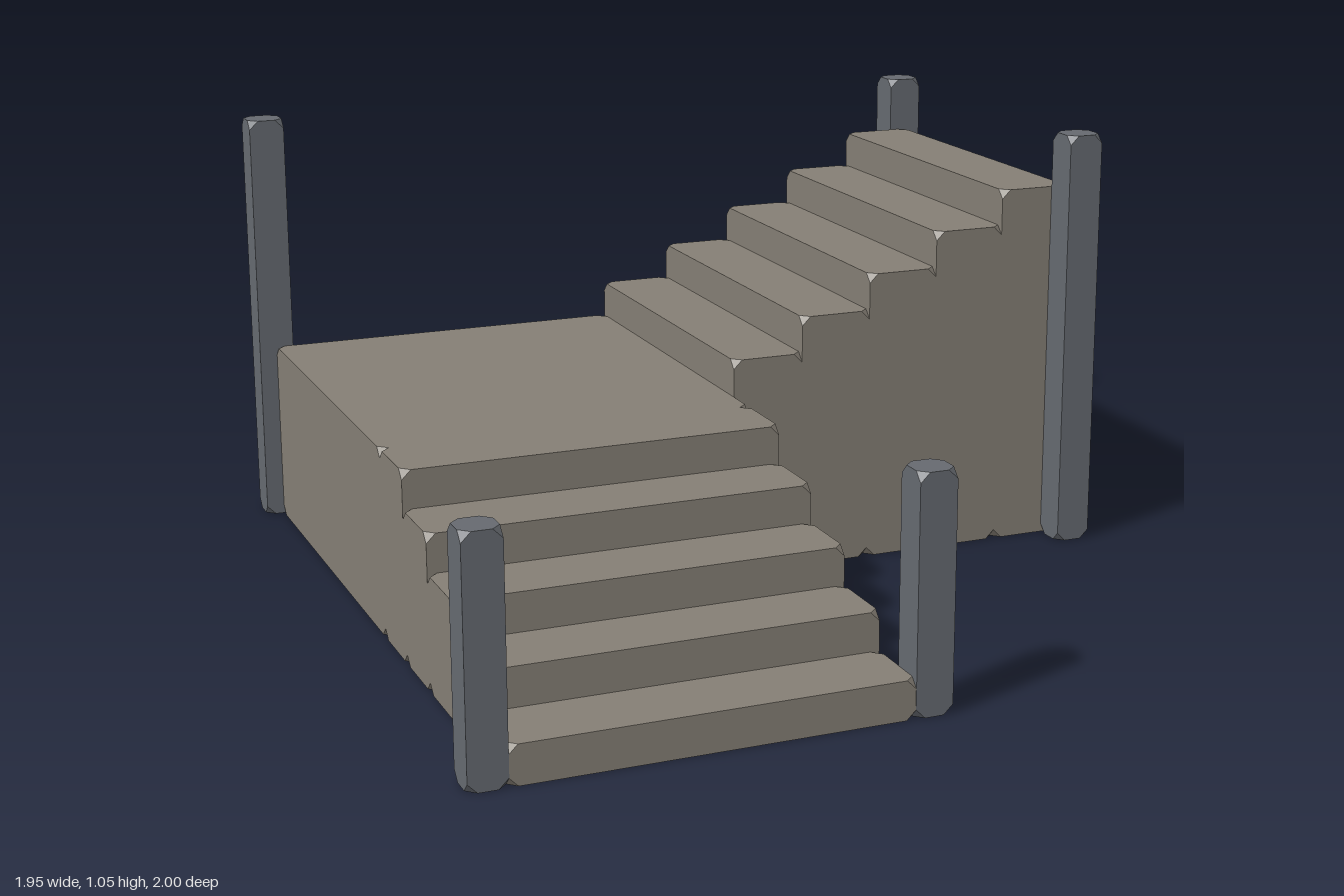
import * as THREE from 'three';
import { ConvexGeometry } from 'three/addons/geometries/ConvexGeometry.js';

const stone = new THREE.MeshStandardMaterial({ color: 0x857f75, flatShading: true });
const slate = new THREE.MeshStandardMaterial({ color: 0x666a70, flatShading: true });

// Block standing on the ground with its eight corners cut off
function block(name, x0, x1, z0, z1, height, material, cut = 0.022) {
  const half = [(x1 - x0) / 2, height / 2, (z1 - z0) / 2];
  const points = [];
  for (const sx of [-1, 1]) for (const sy of [-1, 1]) for (const sz of [-1, 1]) {
    const sign = [sx, sy, sz];
    for (let axis = 0; axis < 3; axis++) {
      const p = half.map((h, i) => sign[i] * (i === axis ? h - cut : h));
      points.push(new THREE.Vector3(...p));
    }
  }
  const mesh = new THREE.Mesh(new ConvexGeometry(points), material);
  mesh.position.set((x0 + x1) / 2, height / 2, (z0 + z1) / 2);
  mesh.name = name;
  return mesh;
}

export function createModel() {
  const model = new THREE.Group();
  model.name = 'cornerStaircase';
  const rise = 0.091, run = 0.1815;
  const left = -0.89, inner = 0.02, back = -0.91, landingFront = 0.09;

  // Lower flight, climbing from the front to the landing
  const lower = new THREE.Group();
  lower.name = 'lowerFlight';
  for (let i = 0; i < 5; i++) {
    const z1 = landingFront + (5 - i) * run;
    lower.add(block('lowerStep', left, inner, z1 - run, z1, rise * (i + 1), stone));
  }

  // Landing at the corner
  const landing = block('landing', left, inner, back, landingFront, rise * 5, stone);

  // Upper flight, turning towards +x
  const upper = new THREE.Group();
  upper.name = 'upperFlight';
  for (let i = 0; i < 5; i++) {
    const x0 = inner + i * run;
    upper.add(block('upperStep', x0, x0 + run, back, 0, rise * (i + 6), stone));
  }

  // Corner posts: x, z, height
  const posts = new THREE.Group();
  posts.name = 'posts';
  const w = 0.044;
  for (const [x, z, h] of [
    [-0.89, -0.955, 1.05], [0.928, -0.955, 1.05], [0.928, 0.045, 1.05],
    [-0.932, 0.955, 0.548], [0.063, 0.955, 0.548],
  ]) posts.add(block('post', x - w, x + w, z - w, z + w, h, slate));

  model.add(lower, landing, upper, posts);
  return model;
}
